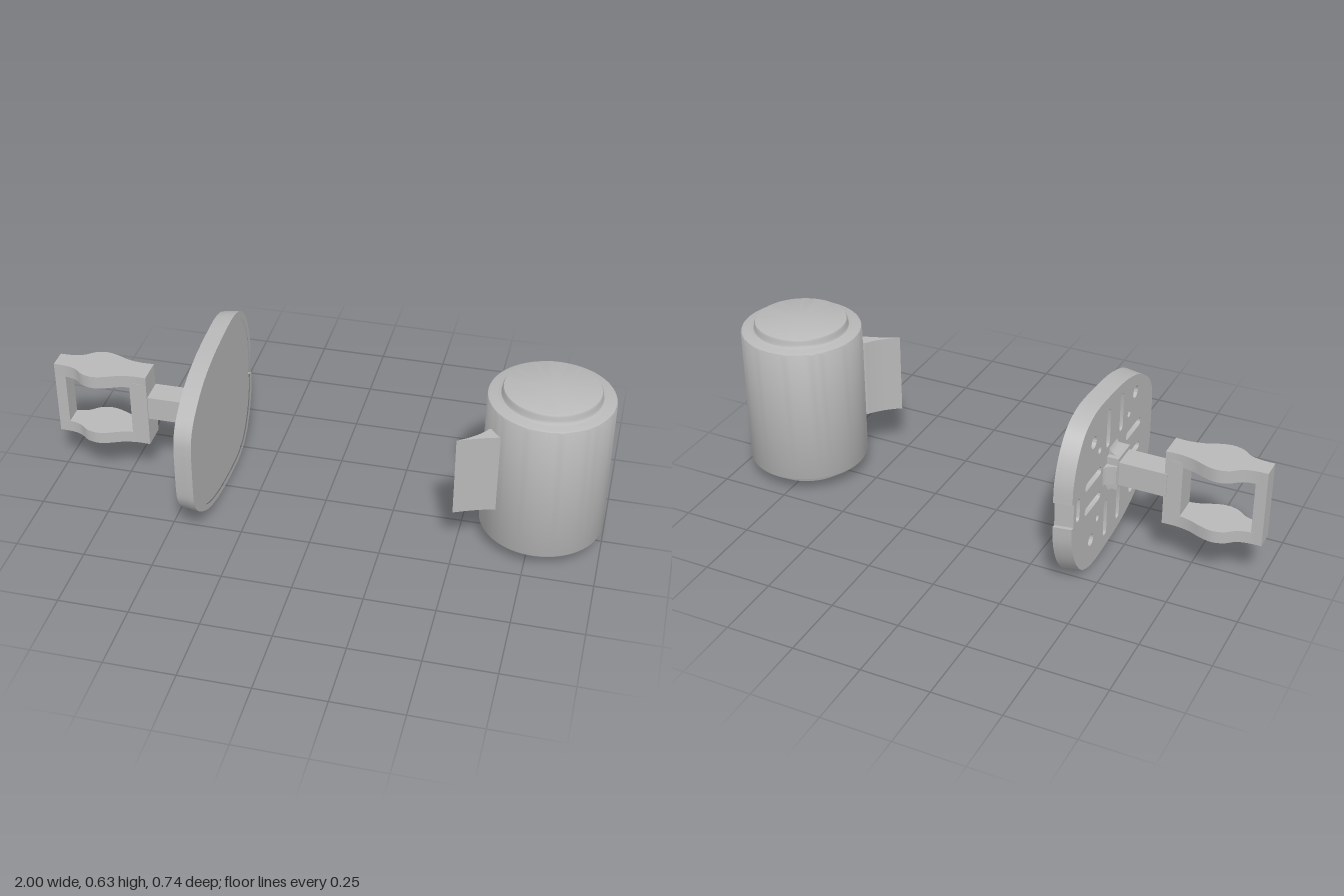
import * as THREE from 'three';
import { toCreasedNormals } from 'three/addons/utils/BufferGeometryUtils.js';

const CY = 0.317; // height of the plate's centre
const ARM_Z = -0.01;

export function createModel() {
  const root = new THREE.Group();
  const grey = new THREE.MeshStandardMaterial({ color: 0xb8b8b8 });
  grey.name = 'light grey';

  const add = (name, geometry, parent = root) => {
    const mesh = new THREE.Mesh(geometry, grey);
    mesh.name = name;
    parent.add(mesh);
    return mesh;
  };
  const group = (name) => {
    const g = new THREE.Group();
    g.name = name;
    root.add(g);
    return g;
  };
  const extrude = (shape, depth) =>
    new THREE.ExtrudeGeometry(shape, { depth, bevelEnabled: false, curveSegments: 12 });
  const vecs = (list) => list.map(([a, b]) => new THREE.Vector2(a, b));
  // Outline drawn in x and z, raised from y0 to y1
  const slab = (shape, y0, y1) =>
    toCreasedNormals(extrude(shape, y1 - y0).rotateX(Math.PI / 2).translate(0, y1, 0), 0.6);
  const box = (x0, x1, y0, y1, z0, z1) =>
    new THREE.BoxGeometry(x1 - x0, y1 - y0, z1 - z0)
      .translate((x0 + x1) / 2, (y0 + y1) / 2, (z0 + z1) / 2);

  // ---- Canister ----
  const canister = group('canister');
  canister.position.set(0.78, 0, -0.009);
  const lathe = (pts) => toCreasedNormals(new THREE.LatheGeometry(vecs(pts), 72), 0.5);
  add('canisterBody', lathe([
    [0, 0.055], [0.21, 0.055], [0.216, 0.058], [0.219, 0.064],
    [0.219, 0.574], [0.216, 0.58], [0.21, 0.583], [0, 0.583],
  ]), canister);
  add('topCap', lathe([
    [0.182, 0.583], [0.172, 0.587], [0.168, 0.595], [0.168, 0.607],
    [0.165, 0.613], [0.16, 0.615], [0, 0.615],
  ]), canister);
  add('bottomCap', lathe([
    [0, 0.018], [0.16, 0.018], [0.165, 0.02], [0.168, 0.026],
    [0.168, 0.043], [0.172, 0.051], [0.182, 0.055],
  ]), canister);

  // Tapering thumb fin on the canister's side
  const fin = new THREE.Shape();
  fin.moveTo(0.495, 0.207);
  fin.quadraticCurveTo(0.56, 0.165, 0.59, 0.115);
  fin.lineTo(0.66, 0.09);
  fin.lineTo(0.635, 0.155);
  fin.quadraticCurveTo(0.58, 0.168, 0.495, 0.207);
  add('thumbFin', slab(fin, 0.195, 0.497));

  // ---- Mounting plate, outlined in u = -z and v = y - CY ----
  const plate = group('mountingPlate');
  const half = [
    [-0.37, 0.07], [-0.362, 0.13], [-0.33, 0.183], [-0.27, 0.23], [-0.2, 0.267], [-0.1, 0.295],
    [0, 0.308], [0.14, 0.315], [0.22, 0.302], [0.28, 0.268], [0.33, 0.203], [0.36, 0.123], [0.367, 0.048],
  ];
  const mirrored = half.slice().reverse().map(([u, v]) => [u, -v]);
  const upper = new THREE.SplineCurve(vecs(half)).getPoints(60);
  const lower = new THREE.SplineCurve(vecs(mirrored)).getPoints(60);
  const notch = vecs([[0.353, 0.048], [0.353, -0.048]]);
  const outer = [...upper, ...notch, ...lower];
  const inner = [...upper, ...lower].map((p) => new THREE.Vector2(p.x * 0.94, p.y * 0.935));

  const slot = (u, v, w, h) => {
    const r = Math.min(w, h) / 2;
    const a = w / 2 - r, b = h / 2 - r;
    const p = new THREE.Path();
    if (a > b) {
      p.absarc(u + a, v, r, -Math.PI / 2, Math.PI / 2);
      p.absarc(u - a, v, r, Math.PI / 2, Math.PI * 1.5);
    } else {
      p.absarc(u, v + b, r, 0, Math.PI);
      p.absarc(u, v - b, r, Math.PI, Math.PI * 2);
    }
    p.closePath();
    return p;
  };
  // Stands an outline up facing +x, narrowing a little towards the back
  const upright = (shape, x0, x1) => {
    const g = extrude(shape, x1 - x0).rotateY(Math.PI / 2).translate(x0, 0, 0);
    const pos = g.attributes.position;
    for (let i = 0; i < pos.count; i++) {
      const s = 1 - 0.025 * (-0.38 - pos.getX(i)) / 0.065;
      pos.setXYZ(i, pos.getX(i), pos.getY(i) * s + CY, pos.getZ(i) * s);
    }
    return toCreasedNormals(g, 0.5);
  };

  // Back half with slots, screw holes and latch pocket
  const back = new THREE.Shape(outer);
  for (const su of [-1, 1]) {
    for (const sv of [-1, 1]) {
      back.holes.push(
        slot(su * 0.06, sv * 0.185, 0.032, 0.15),
        slot(su * 0.185, sv * 0.05, 0.14, 0.032),
        slot(su * 0.19, sv * 0.2, 0.046, 0.046),
        slot(su * 0.135, sv * 0.14, 0.028, 0.028),
      );
    }
  }
  back.holes.push(slot(0.315, 0, 0.03, 0.09));
  add('plateBack', upright(back, -0.445, -0.4), plate);

  // Raised rim around a slightly sunk front panel
  const rim = new THREE.Shape(outer);
  rim.holes.push(new THREE.Path(inner));
  add('plateRim', upright(rim, -0.4, -0.38), plate);
  add('platePanel', upright(new THREE.Shape(inner), -0.4, -0.384), plate);

  // ---- Arm and grip loop ----
  const arm = group('arm');
  add('stem', box(-0.66, -0.44, 0.283, 0.373, -0.058, 0.037), arm);
  add('collar', box(-0.487, -0.44, 0.265, 0.388, -0.063, 0.043), arm);

  // Crossed flares where the arm meets the plate
  const flare = new THREE.Shape();
  flare.moveTo(-0.485, -0.06);
  flare.lineTo(-0.485, 0.06);
  flare.quadraticCurveTo(-0.452, 0.065, -0.443, 0.092);
  flare.lineTo(-0.443, -0.092);
  flare.quadraticCurveTo(-0.452, -0.065, -0.485, -0.06);
  for (const [name, turn] of [['verticalFlare', 0], ['horizontalFlare', Math.PI / 2]]) {
    const g = extrude(flare, 0.07).translate(0, 0, -0.035).rotateX(turn);
    add(name, toCreasedNormals(g.translate(0, 0.325, ARM_Z), 0.6), arm);
  }

  // Upper and lower grip bars swell out sideways
  const swell = [
    [-1, 0.035], [-0.955, 0.037], [-0.915, 0.048], [-0.88, 0.074], [-0.84, 0.084],
    [-0.8, 0.076], [-0.75, 0.056], [-0.7, 0.047], [-0.65, 0.048],
  ];
  const side = new THREE.SplineCurve(vecs(swell)).getPoints(40);
  const bar = new THREE.Shape([
    ...side.map((p) => new THREE.Vector2(p.x, p.y - 0.006)),
    ...side.slice().reverse().map((p) => new THREE.Vector2(p.x, -p.y - 0.006)),
  ]);
  add('upperGripBar', slab(bar, 0.412, 0.46), arm);
  add('lowerGripBar', slab(bar, 0.173, 0.218), arm);
  add('gripEnd', box(-1, -0.96, 0.2, 0.43, -0.041, 0.029), arm);
  add('gripRoot', box(-0.713, -0.65, 0.2, 0.43, -0.054, 0.042), arm);

  return root;
}
